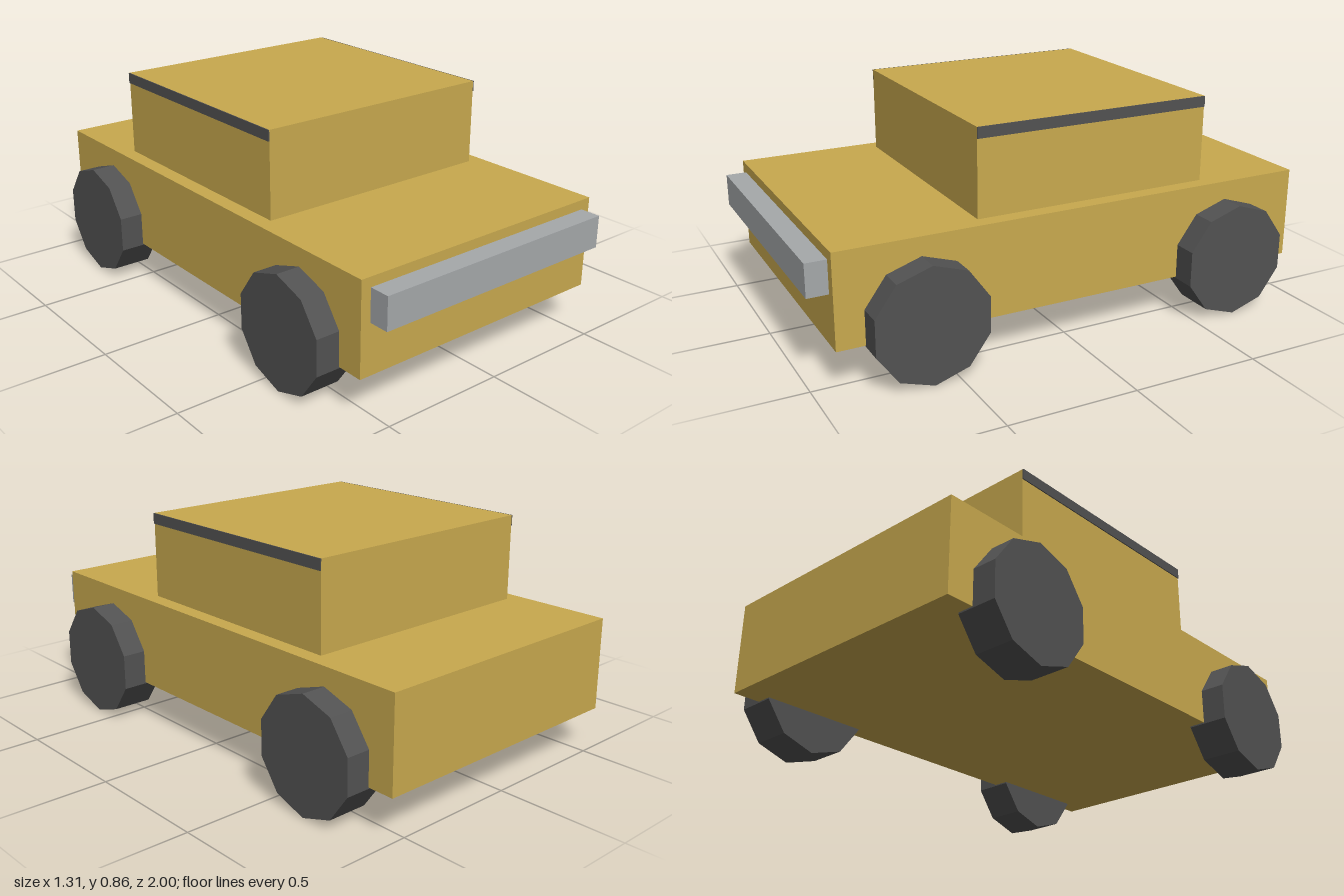
import * as THREE from 'three';

export function createModel() {
  const car = new THREE.Group();
  car.name = 'car';

  const material = (name, color) => {
    const m = new THREE.MeshStandardMaterial({ color });
    m.name = name;
    return m;
  };
  const paint = material('ochre paint', 0xc8a94e);
  const rubber = material('dark grey', 0x525252);
  const metal = material('bumper grey', 0xa5a8aa);

  const add = (name, geometry, mat, x, y, z) => {
    const mesh = new THREE.Mesh(geometry, mat);
    mesh.name = name;
    mesh.position.set(x, y, z);
    car.add(mesh);
  };
  // Box given by its half width and its y and z limits
  const block = (name, mat, halfWidth, y0, y1, z0, z1) =>
    add(name, new THREE.BoxGeometry(halfWidth * 2, y1 - y0, z1 - z0), mat,
      0, (y0 + y1) / 2, (z0 + z1) / 2);

  // Body, cabin and front bumper
  block('body', paint, 0.56, 0.16, 0.52, -1, 0.92);
  block('cabin', paint, 0.5, 0.52, 0.857, -0.6, 0.36);
  block('bumper', metal, 0.52, 0.356, 0.482, 0.92, 1);

  // Dark trim along both upper edges of the cabin
  const trim = new THREE.BoxGeometry(0.004, 0.042, 0.96);
  for (const side of [-1, 1]) {
    add(side > 0 ? 'leftRoofTrim' : 'rightRoofTrim', trim, rubber, side * 0.502, 0.836, -0.12);
  }

  // Ten-sided wheels, with a corner pointing straight up, as flat faces
  const wheel = new THREE.CylinderGeometry(0.224, 0.224, 0.158, 10, 1, false, Math.PI / 2)
    .rotateZ(Math.PI / 2)
    .toNonIndexed();
  wheel.computeVertexNormals();
  for (const side of [-1, 1]) {
    for (const [end, z] of [['Front', 0.6], ['Rear', -0.68]]) {
      add(`${side > 0 ? 'left' : 'right'}${end}Wheel`, wheel, rubber, side * 0.576, 0.224, z);
    }
  }

  return car;
}
